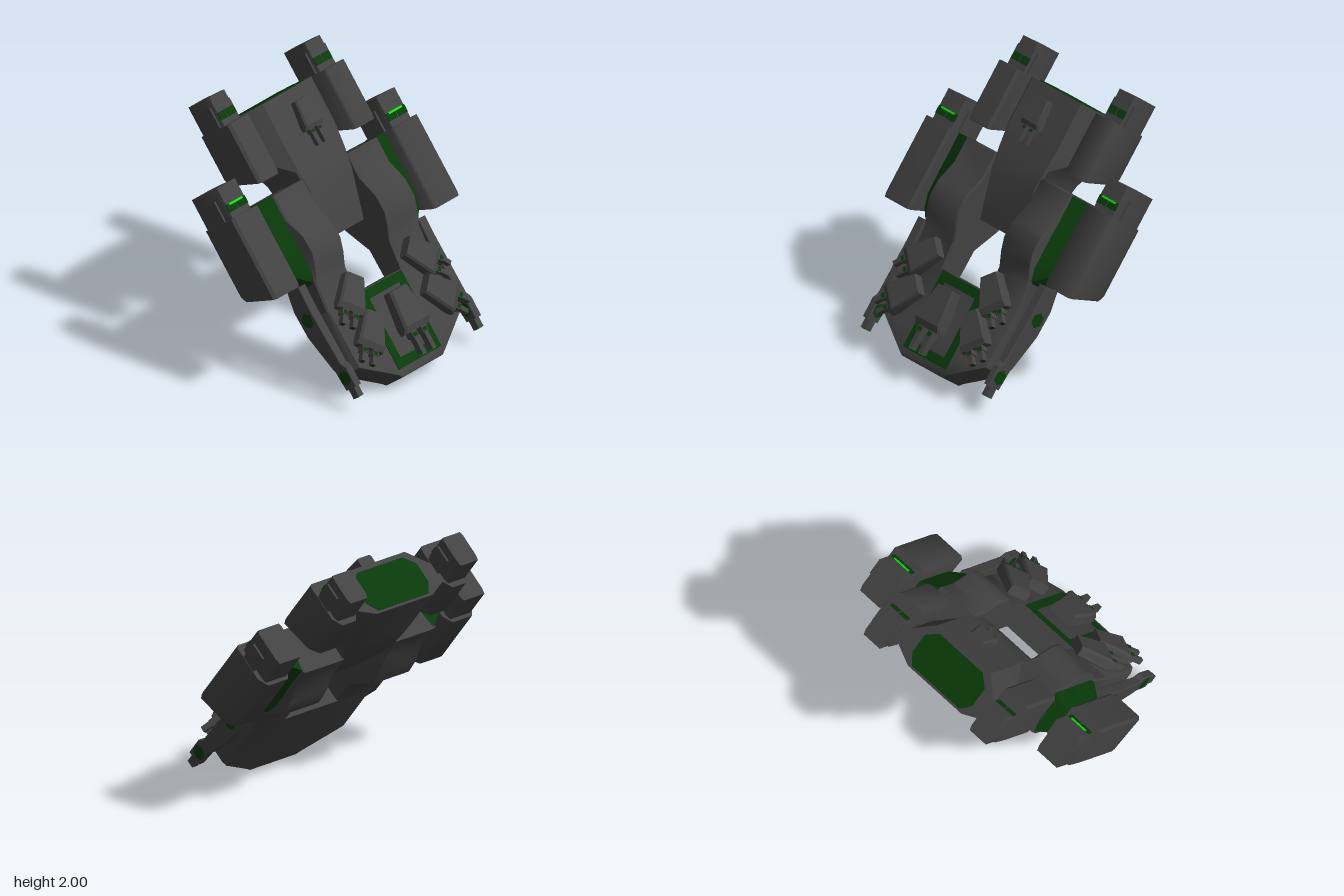
import * as THREE from 'three';
import { toCreasedNormals } from 'three/addons/utils/BufferGeometryUtils.js';

const mat = (name, color) => {
  const m = new THREE.MeshStandardMaterial({ color });
  m.name = name;
  return m;
};

// Skin a list of rings (counter-clockwise seen from +z, ordered by rising z) and cap the ends
function loft(rings, crease = 0.6) {
  const p = [], n = rings[0].length;
  const tri = (a, b, c) => p.push(...a, ...b, ...c);
  for (let i = 0; i < rings.length - 1; i++) {
    for (let j = 0; j < n; j++) {
      const k = (j + 1) % n;
      tri(rings[i][j], rings[i][k], rings[i + 1][k]);
      tri(rings[i][j], rings[i + 1][k], rings[i + 1][j]);
    }
  }
  const first = rings[0], last = rings[rings.length - 1];
  for (let j = 1; j < n - 1; j++) {
    tri(first[0], first[j + 1], first[j]);
    tri(last[0], last[j], last[j + 1]);
  }
  const g = new THREE.BufferGeometry();
  g.setAttribute('position', new THREE.Float32BufferAttribute(p, 3));
  return toCreasedNormals(g, crease);
}

// Chamfered rectangle at z; top and bottom chamfers are [dx, dy], slant pulls the lower points back
function ring(z, cx, hw, lo, hi, top = [0.015, 0.015], bot = top, slant = 0) {
  return [
    [cx - hw + bot[0], lo], [cx + hw - bot[0], lo], [cx + hw, lo + bot[1]], [cx + hw, hi - top[1]],
    [cx + hw - top[0], hi], [cx - hw + top[0], hi], [cx - hw, hi - top[1]], [cx - hw, lo + bot[1]],
  ].map(([x, y]) => [x, y, z - slant * (hi - y)]);
}

function box(x0, x1, y0, y1, z0, z1) {
  return new THREE.BoxGeometry(x1 - x0, y1 - y0, z1 - z0)
    .translate((x0 + x1) / 2, (y0 + y1) / 2, (z0 + z1) / 2).toNonIndexed();
}

// Mirror across x and restore the winding
function mirrored(geo) {
  const g = geo.clone(), p = g.attributes.position, old = p.clone();
  for (let i = 0; i < p.count; i++) {
    const s = i % 3 === 0 ? i : i % 3 === 1 ? i + 1 : i - 1;
    p.setXYZ(i, -old.getX(s), old.getY(s), old.getZ(s));
  }
  return toCreasedNormals(g, 0.6);
}

export function createModel() {
  const grey = mat('hull grey', 0x424242);
  const green = mat('dark green', 0x093a0a);
  const bright = mat('bright green', 0x0ae60a);

  const model = new THREE.Group();
  model.name = 'spaceship';
  const ship = new THREE.Group();
  ship.name = 'ship';
  ship.rotation.x = THREE.MathUtils.degToRad(52); // nose-down pose
  ship.position.y = 1;
  model.add(ship);

  const add = (name, geo, m, parent = ship) => {
    const mesh = new THREE.Mesh(geo, m);
    mesh.name = name;
    parent.add(mesh);
  };
  const both = (name, geo, m) => {
    add(name + 'Left', geo, m);
    add(name + 'Right', mirrored(geo), m);
  };

  // Nose slab with its tapered front, rounded over at the top edge
  add('nose', loft([
    ring(0.51, 0, 0.56, -0.11, 0.1), ring(0.97, 0, 0.56, -0.11, 0.1, [0.015, 0.04]),
    ring(1.155, 0, 0.26, -0.11, 0.1, [0.015, 0.04]),
    ring(1.18, 0, 0.23, -0.11, 0.085, [0.015, 0.06], [0.015, 0.015]),
  ], 0.9), grey);

  // Green frame on the nose deck
  for (const s of [-1, 1]) add('deckFrameSide', box(s * 0.195 - 0.033, s * 0.195 + 0.033, 0.098, 0.105, 0.515, 1.12), green);
  add('deckFrameFront', box(-0.163, 0.163, 0.098, 0.105, 1.05, 1.12), green);
  add('deckFrameRear', box(-0.163, 0.163, 0.098, 0.105, 0.515, 0.585), green);

  // Central body, thin at the prow and eight-sided at the stern
  const topCut = [0.14, 0.15], botCut = [0.14, 0.07];
  add('body', loft([
    ring(-0.975, 0, 0.4, -0.2, 0.178, topCut, botCut),
    ring(-0.62, 0, 0.4, -0.2, 0.175, topCut, botCut),
    ring(-0.44, 0, 0.26, -0.2, 0.167),
    ring(-0.28, 0, 0.237, -0.19, 0.155),
    ring(0.084, 0, 0.235, -0.075, 0.012),
  ]), grey);
  const panel = z => ring(z, 0, 0.29, -0.18, 0.142, [0.08, 0.08], [0.06, 0.08]);
  add('sternPanel', loft([panel(-0.98), panel(-0.973)]), green);

  // Arms joining nose and body: z, bottom, top, reach of the green flank
  const arm = [
    [-0.38, -0.2, 0.166, 0.71], [-0.19, -0.197, 0.163, 0.71], [-0.03, -0.238, 0.228, 0.71],
    [0.1, -0.245, 0.232, 0.705], [0.2, -0.18, 0.19, 0.67], [0.3, -0.114, 0.13, 0.575], [0.52, -0.11, 0.1, 0.57],
  ];
  const keelX = reach => Math.min(0.62, reach - 0.01); // outer bottom edge
  both('arm', loft(arm.map(([z, lo, hi, x]) => [
    [0.237, lo + 0.01, z], [0.25, lo, z], [keelX(x) - 0.03, lo, z], [keelX(x), Math.max(lo + 0.012, -0.19), z],
    [0.562, Math.min(hi - 0.012, 0.155), z], [0.55, hi, z], [0.25, hi, z], [0.237, hi - 0.01, z],
  ]), 0.8), grey);
  both('armFlank', loft(arm.slice(0, 6).map(([z, lo, hi, x]) => [
    [keelX(x) - 0.02, Math.max(lo + 0.014, -0.19), z], [x, Math.max(lo, -0.2) * 0.5, z],
    [x, Math.min(hi, 0.166) * 0.5, z], [0.55, Math.min(hi - 0.012, 0.156), z],
  ]), 0.6), green);

  // Engine pods: centre x, half width, rear z, front z, nozzle end, nozzle half width, bottom, top, nozzle bottom, nozzle top
  const pods = [
    ['outer', 0.86, 0.14, -0.38, 0.262, -0.62, 0.105, -0.2, 0.167, -0.172, 0.122],
    ['inner', 0.515, 0.112, -0.97, -0.5, -1.197, 0.088, -0.195, 0.178, -0.154, 0.091],
  ];
  for (const [name, x, hw, back, front, end, nw, lo, hi, nlo, nhi] of pods) {
    const t = [0.02, 0.02], b = [0.05, 0.07];
    both(name + 'Pod', loft([
      ring(back, x, hw, lo, hi, t, b),
      ring(front - 0.03, x, hw, lo, hi, t, b, 0.26),
      ring(front, x, hw - 0.003, lo + 0.012, hi - 0.005, t, b, 0.26),
    ], 0.9), grey);
    const nt = [0.008, 0.03], nb = [0.01, 0.04];
    both(name + 'Nozzle', loft([ring(end, x, nw, nlo, nhi, nt, nb), ring(back + 0.02, x, nw, nlo, nhi, nt, nb)]), grey);
    for (const s of [-1, 1]) {
      // Fins beside the nozzle and vents on top of it
      const fx = x + s * (hw - 0.012);
      both(name + 'Fin', box(fx - 0.008, fx + 0.008, -0.06, 0.07, back - 0.16, back + 0.02), grey);
      const vx = x + s * nw * 0.5;
      both(name + 'Vent', box(vx - nw * 0.44, vx + nw * 0.44, nhi - 0.002, nhi + 0.005, back - 0.105, back - 0.045), green);
    }
    if (name === 'outer') {
      both('ventGlow', box(x - 0.07, x + 0.07, nhi - 0.001, nhi + 0.008, back - 0.107, back - 0.092), bright);
    }
  }

  // Long side guns
  const gx = 0.647, g0 = [0.006, 0.006];
  both('sideGun', loft([
    ring(0.27, gx, 0.038, -0.05, 0.085, g0), ring(0.42, gx, 0.038, -0.085, 0.08, g0),
    ring(0.62, gx, 0.037, -0.08, 0.085, g0), ring(0.88, gx, 0.032, -0.015, 0.095, g0),
    ring(0.92, gx, 0.031, 0.0, 0.125, g0), ring(1.07, gx, 0.03, 0.01, 0.125, g0),
  ]), grey);
  both('sideGunBarrel', box(gx - 0.025, gx + 0.025, 0.035, 0.095, 1.05, 1.145), grey);
  both('sideGunMuzzle', box(gx - 0.018, gx + 0.018, 0.04, 0.09, 1.144, 1.148), bright);
  for (const [z, y, r] of [[0.51, 0.003, 0.0365], [0.985, 0.062, 0.0295]]) {
    for (const s of [-1, 1]) {
      const disc = new THREE.CylinderGeometry(0.058, 0.058, 0.004, 6).rotateZ(Math.PI / 2)
        .translate(gx + s * r, y, z).toNonIndexed();
      both('sideGunPlate', disc, green);
    }
  }

  // Twin-barrel turret facing +z, its base at y = 0; reach is where the barrels end
  function turret(name, x, y, z, scale, turn, reach, glow) {
    const g = new THREE.Group();
    g.name = name;
    const t = [0.015, 0.02], b = [0.01, 0.01];
    add('turretHousing', loft([
      ring(-0.16, 0, 0.09, 0.005, 0.1, t, b), ring(0.11, 0, 0.13, 0, 0.11, t, b),
      ring(0.155, 0, 0.13, 0.01, 0.08, t, b),
    ]), grey, g);
    for (const s of [-1, 1]) {
      const bx = s * 0.052;
      add('barrelSleeve', box(bx - 0.028, bx + 0.028, 0.015, 0.08, 0.14, 0.2), grey, g);
      add('barrel', box(bx - 0.019, bx + 0.019, 0.025, 0.075, 0.19, reach), grey, g);
      add('barrelBand', box(bx - 0.02, bx + 0.02, 0.076, 0.082, 0.165, 0.195), green, g);
      add('barrelGlow', box(bx - 0.018, bx + 0.018, 0.028, 0.072, reach - 0.002, reach + 0.002), glow, g);
    }
    g.position.set(x, y, z);
    g.rotation.y = turn;
    g.scale.setScalar(scale);
    ship.add(g);
  }
  turret('noseTurret', 0, 0.155, 0.77, 1, 0, 0.33, bright);
  turret('bodyTurret', 0, 0.212, -0.77, 0.7, 0, 0.33, green);
  for (const s of [-1, 1]) {
    turret('rearDeckTurret', s * 0.375, 0.148, 0.49, 0.88, s * 0.74, 0.28, green);
    turret('frontDeckTurret', s * 0.375, 0.148, 0.785, 0.88, s * 0.74, 0.28, green);
  }
  return model;
}
